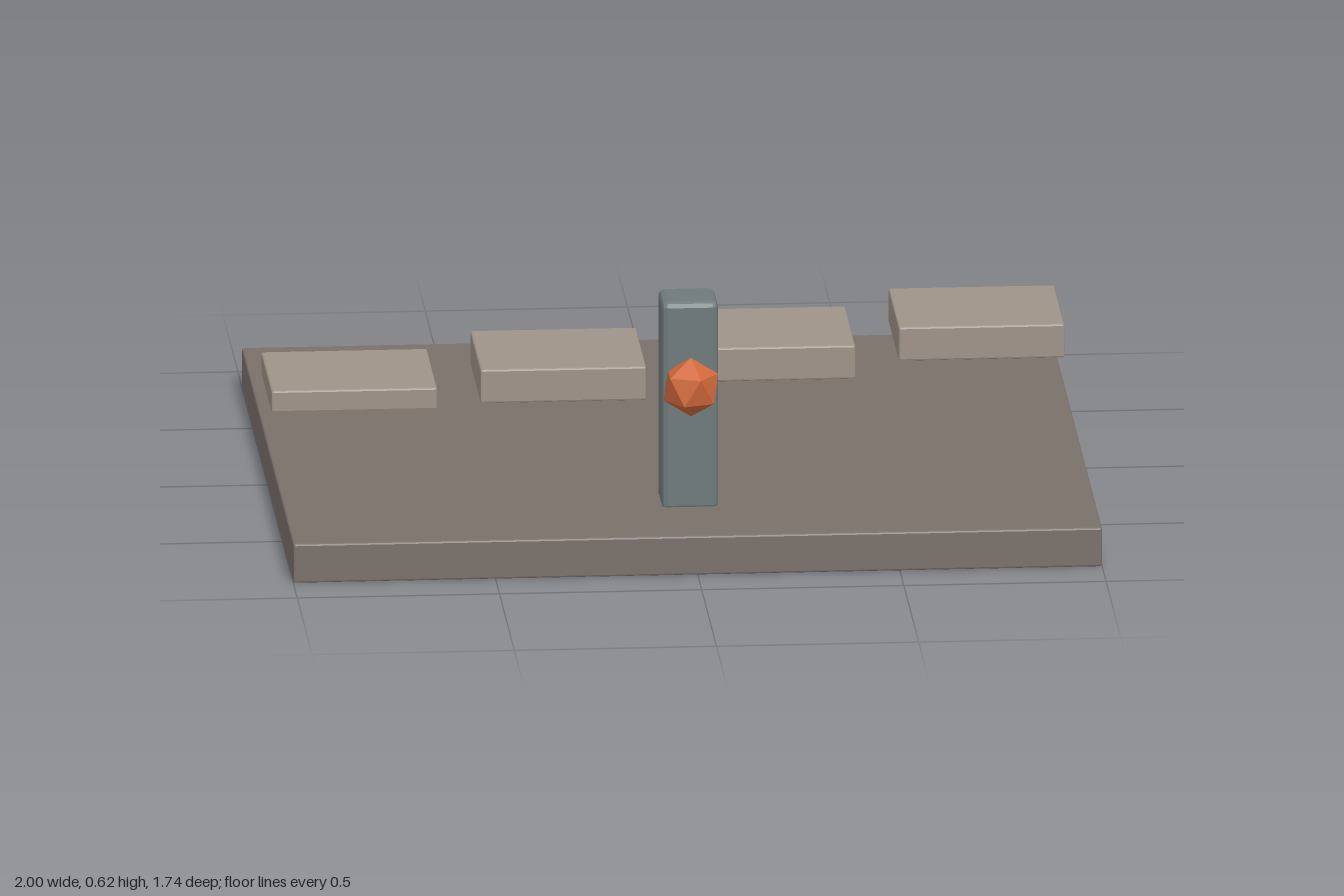
import * as THREE from 'three';
import { RoundedBoxGeometry } from 'three/addons/geometries/RoundedBoxGeometry.js';

const mat = (color) => new THREE.MeshStandardMaterial({ color, flatShading: true });

// Softly chamfered block, placed by its centre
function block(name, size, centre, bevel, material) {
  const mesh = new THREE.Mesh(new RoundedBoxGeometry(...size, 1, bevel), material);
  mesh.name = name;
  mesh.position.set(...centre);
  return mesh;
}

export function createModel() {
  const model = new THREE.Group();
  model.name = 'courtyard';
  const stone = mat(0x7a706a);
  const paleStone = mat(0x9f9388);
  const slate = mat(0x6f7a7a);
  const ember = mat(0xd0683a);

  // Floor slab
  model.add(block('floor', [2, 0.1, 1.74], [0, 0.05, 0], 0.005, stone));

  // Four steps rising towards +x; the lowest is sunk into the floor
  const steps = new THREE.Group();
  steps.name = 'steps';
  for (let i = 0; i < 4; i++) {
    const centre = [-0.763 + i * 0.517, 0.108 + i * 0.0435, -0.479];
    steps.add(block(`step${i + 1}`, [0.41, 0.087, 0.348], centre, 0.005, paleStone));
  }
  model.add(steps);

  // Pillar
  model.add(block('pillar', [0.139, 0.535, 0.139], [0, 0.3575, 0.544], 0.014, slate));

  // Faceted lamp set into the pillar front, turned to stand on a vertex
  const lamp = new THREE.Mesh(new THREE.IcosahedronGeometry(0.075, 0), ember);
  lamp.name = 'lamp';
  lamp.rotation.z = -Math.atan(2 / (1 + Math.sqrt(5)));
  lamp.position.set(0, 0.415, 0.637);
  model.add(lamp);

  return model;
}
